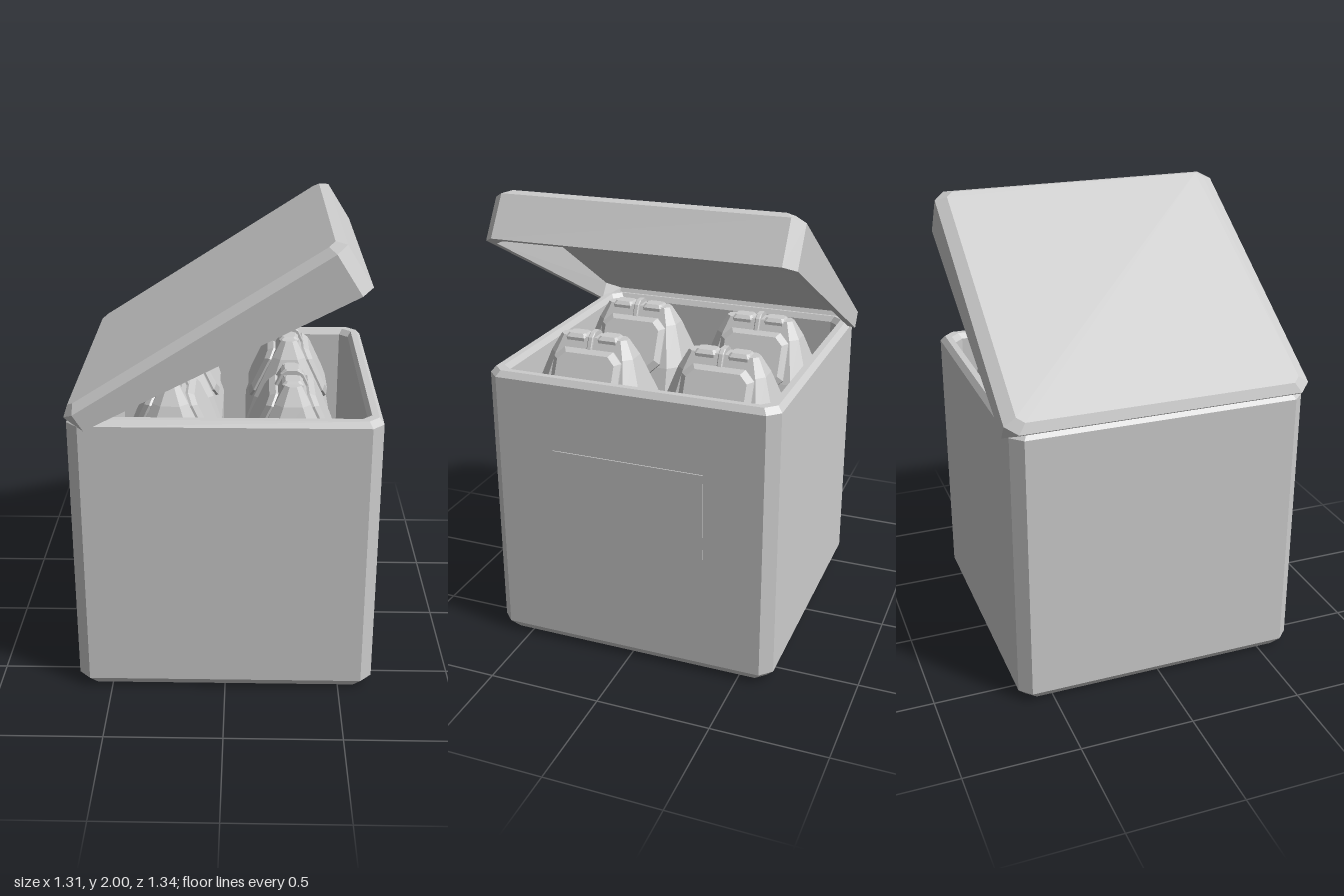
import * as THREE from 'three';

const grey = new THREE.MeshStandardMaterial({ color: 0xcccccc, flatShading: true });

// Eight-sided ring: a rectangle with cut corners; y is a number or a rule of x
function ring(hx, hz, c, y, cx = 0) {
  const corners = [
    [hx, hz - c], [hx - c, hz], [c - hx, hz], [-hx, hz - c],
    [-hx, c - hz], [c - hx, -hz], [hx - c, -hz], [hx, c - hz],
  ];
  return corners.map(([x, z]) =>
    new THREE.Vector3(x + cx, typeof y === 'function' ? y(x + cx) : y, z));
}

// Skin through successive rings, with both ends capped
function loft(name, rings) {
  const pos = [];
  const tri = (...pts) => pts.forEach((p) => pos.push(p.x, p.y, p.z));
  for (let r = 0; r < rings.length - 1; r++) {
    const a = rings[r], b = rings[r + 1];
    for (let i = 0; i < 8; i++) {
      const j = (i + 1) % 8;
      tri(a[j], a[i], b[i]);
      tri(a[j], b[i], b[j]);
    }
  }
  const first = rings[0], last = rings[rings.length - 1];
  for (let i = 1; i < 7; i++) {
    tri(first[0], first[i], first[i + 1]);
    tri(last[0], last[i + 1], last[i]);
  }
  const geo = new THREE.BufferGeometry();
  geo.setAttribute('position', new THREE.Float32BufferAttribute(pos, 3));
  geo.computeVertexNormals();
  const mesh = new THREE.Mesh(geo, grey);
  mesh.name = name;
  return mesh;
}

// Hollow box with bevelled foot and rim
function makeBody() {
  return loft('boxBody', [
    ring(0.61, 0.61, 0.04, 0),
    ring(0.648, 0.648, 0.05, 0.045),
    ring(0.648, 0.648, 0.05, 1.25),
    ring(0.628, 0.628, 0.045, 1.275),
    ring(0.6, 0.6, 0.04, 1.275),
    ring(0.585, 0.585, 0.04, 1.25),
    ring(0.585, 0.585, 0.04, 0.06),
  ]);
}

// Hollow tapered lid, deeper at its free edge
function makeLid() {
  const mid = 0.605;
  const rim = (u) => (u > -0.01 ? -0.092 * (u + 0.01) : -1.5 * (u + 0.01));
  const lid = loft('lid', [
    ring(0.63, 0.635, 0.06, 0.075, mid),
    ring(0.635, 0.64, 0.06, rim, mid),
    ring(0.665, 0.67, 0.05, rim, mid),
    ring(0.665, 0.67, 0.05, 0.08, mid),
    ring(0.63, 0.62, 0.03, 0.11, mid),
  ]);
  lid.position.set(-0.56, 1.245, 0);
  lid.rotation.z = THREE.MathUtils.degToRad(32.5);
  return lid;
}

// Gabled container with padded slopes and a band over the ridge
function makeContainer() {
  const g = new THREE.Group();
  g.name = 'container';
  g.add(loft('containerCore', [
    ring(0.2, 0.26, 0.06, 0.06),
    ring(0.2, 0.26, 0.06, 0.98),
    ring(0.16, 0.255, 0.06, 1.1),
    ring(0.075, 0.195, 0.035, 1.28),
    ring(0.035, 0.155, 0.02, 1.355),
  ]));
  g.add(loft('ridgeBand', [
    ring(0.165, 0.012, 0.004, 1.1),
    ring(0.088, 0.012, 0.004, 1.28),
    ring(0.05, 0.012, 0.004, 1.36),
    ring(0.025, 0.012, 0.004, 1.375),
  ]));
  for (const side of [-1, 1]) {
    // Ridge blocks either side of the band
    const block = loft('ridgeBlock', [
      ring(0.045, 0.05, 0.01, 1.33),
      ring(0.045, 0.05, 0.01, 1.35),
      ring(0.03, 0.04, 0.01, 1.365),
    ]);
    block.position.z = side * 0.075;
    g.add(block);
    // Padded panel lying on the slope
    const pad = loft('sidePad', [
      ring(0.13, 0.16, 0.045, -0.02),
      ring(0.13, 0.16, 0.045, 0.012),
      ring(0.105, 0.135, 0.035, 0.03),
    ]);
    pad.position.set(side * 0.115, 1.19, 0);
    pad.rotation.z = -side * 1.13;
    g.add(pad);
  }
  return g;
}

export function createModel() {
  const model = new THREE.Group();
  model.name = 'openBox';
  model.add(makeBody(), makeLid());

  // Raised plate on the side wall
  const plate = new THREE.Mesh(new THREE.BoxGeometry(0.02, 0.39, 0.68), grey);
  plate.name = 'sidePlate';
  plate.position.set(0.643, 0.755, 0);
  model.add(plate);

  // Four containers inside
  for (const x of [-0.23, 0.28]) {
    for (const z of [-0.3, 0.3]) {
      const c = makeContainer();
      c.position.set(x, 0, z);
      model.add(c);
    }
  }
  return model;
}
